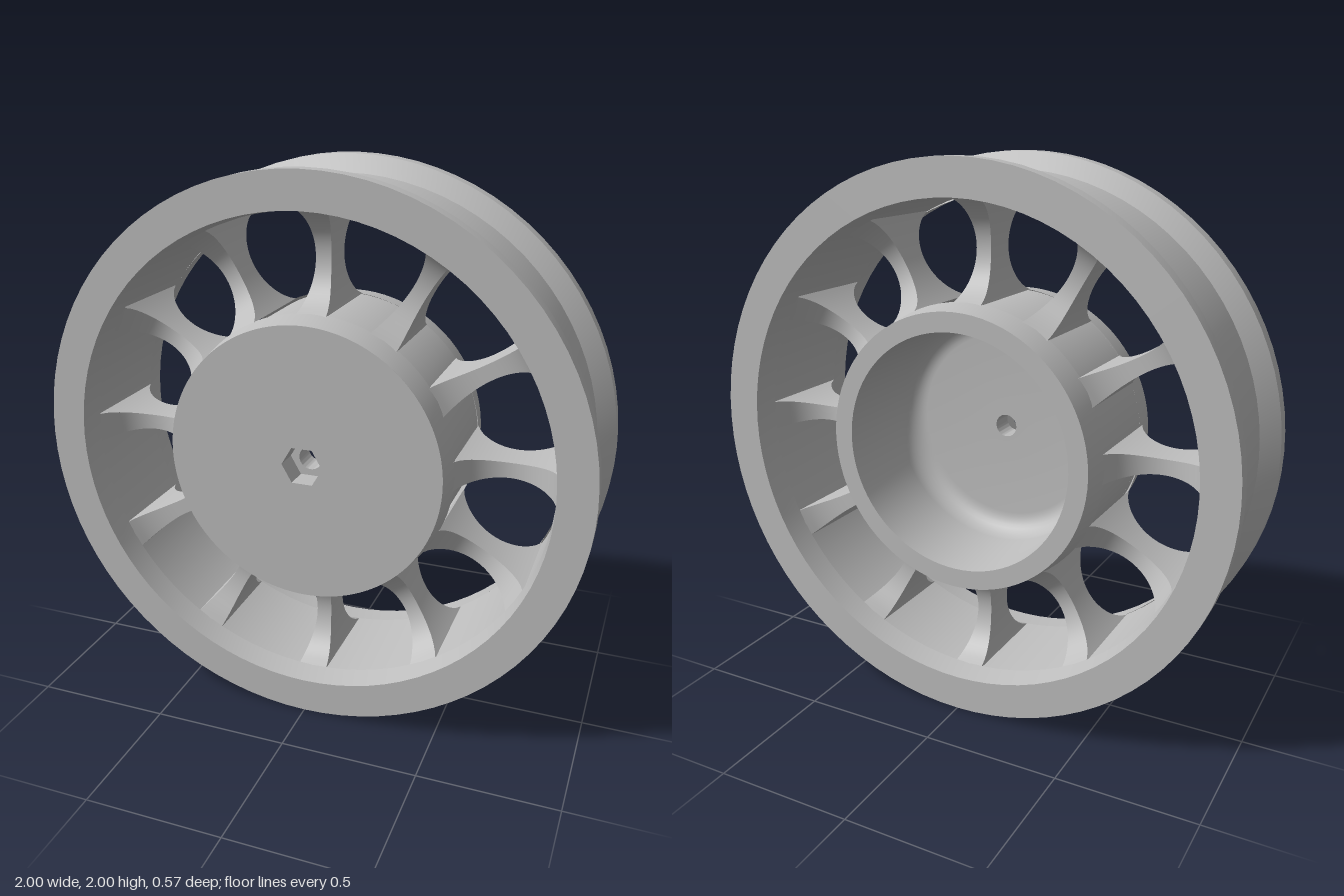
import * as THREE from 'three';
import { toCreasedNormals } from 'three/addons/utils/BufferGeometryUtils.js';

const SEG = 84, SPOKES = 12;
const HALF = 0.285;                              // half width of the wheel
const MID = 0.685, R = 0.185, GROOVE_Z = 0.25;   // round groove between hub and rim

// height of the groove surface above the mid plane at radius r
const grooveZ = r => GROOVE_Z - Math.sqrt(Math.max(0, R * R - (r - MID) ** 2));

// revolve a counter-clockwise [radius, z] profile around the z axis
function revolve(profile) {
  const geo = new THREE.LatheGeometry(profile.map(([r, z]) => new THREE.Vector2(r, z)), SEG);
  geo.rotateX(Math.PI / 2);
  return toCreasedNormals(geo, 0.5);
}

// groove edge from the back side to the front side
function grooveEdge(radii) {
  const front = radii.map(r => [r, grooveZ(r)]);
  return [...front.map(([r, z]) => [r, -z]).reverse(), ...front].reverse();
}

export function createModel() {
  const wheel = new THREE.Group();
  wheel.name = 'wheel';
  const metal = new THREE.MeshStandardMaterial({ color: 0xbebebe });
  metal.name = 'grey metal';

  const add = (name, geo) => {
    const mesh = new THREE.Mesh(geo, metal);
    mesh.name = name;
    mesh.position.y = 1;
    wheel.add(mesh);
    return mesh;
  };

  // rim with two flanges and a flat channel
  add('rim', revolve([
    [0.87, -HALF], [1, -HALF], [1, -0.23], [0.94, -0.17],
    [0.94, 0.17], [1, 0.23], [1, HALF], [0.87, HALF],
    ...grooveEdge([0.86, 0.863, 0.866, 0.8685, 0.87].reverse()),
    [0.87, -HALF],
  ]));

  // hub: axle bore, rounded cup open at the back, outer wall
  const fillet = [];
  for (let i = 0; i <= 8; i++) {
    const a = (i / 8) * Math.PI / 2;
    fillet.push([0.35 + 0.08 * Math.sin(a), 0.03 + 0.08 * Math.cos(a)]);
  }
  add('hub', revolve([
    [0.09, 0.2], [0.042, 0.2], [0.042, 0.11], ...fillet,
    [0.43, -HALF], [0.5, -HALF],
    ...grooveEdge([0.5, 0.5015, 0.504, 0.508, 0.515]).reverse(),
    [0.5, HALF],
  ]));

  // front plate with a hexagonal recess
  const disc = new THREE.Shape();
  disc.absarc(0, 0, 0.5, 0, Math.PI * 2);
  const hex = [];
  for (let i = 0; i < 6; i++) {
    const a = -i * Math.PI / 3;
    hex.push(new THREE.Vector2(0.075 * Math.cos(a), 0.075 * Math.sin(a)));
  }
  disc.holes.push(new THREE.Path(hex));
  const plate = new THREE.ExtrudeGeometry(disc, { depth: 0.035, bevelEnabled: false, curveSegments: SEG });
  plate.scale(1, 1, (HALF - 0.2) / 0.035);
  plate.translate(0, 0, 0.2);
  add('hubFrontPlate', toCreasedNormals(plate, 0.5));

  // spokes: waisted sides, front and back hollowed by the groove
  const r0 = 0.51, r1 = 0.862;
  const spoke = new THREE.BoxGeometry(2, r1 - r0, 2, 1, 24, 1);
  spoke.translate(0, (r0 + r1) / 2, 0);
  const p = spoke.attributes.position;
  for (let i = 0; i < p.count; i++) {
    const r = p.getY(i);
    const halfWidth = 0.028 + 0.026 * ((r - MID) / 0.175) ** 2;
    p.setX(i, p.getX(i) * halfWidth);
    p.setZ(i, p.getZ(i) * grooveZ(r));
  }
  spoke.computeVertexNormals();
  for (let i = 0; i < SPOKES; i++) {
    add('spoke' + (i + 1), spoke).rotation.z = (i / SPOKES) * Math.PI * 2;
  }
  return wheel;
}
